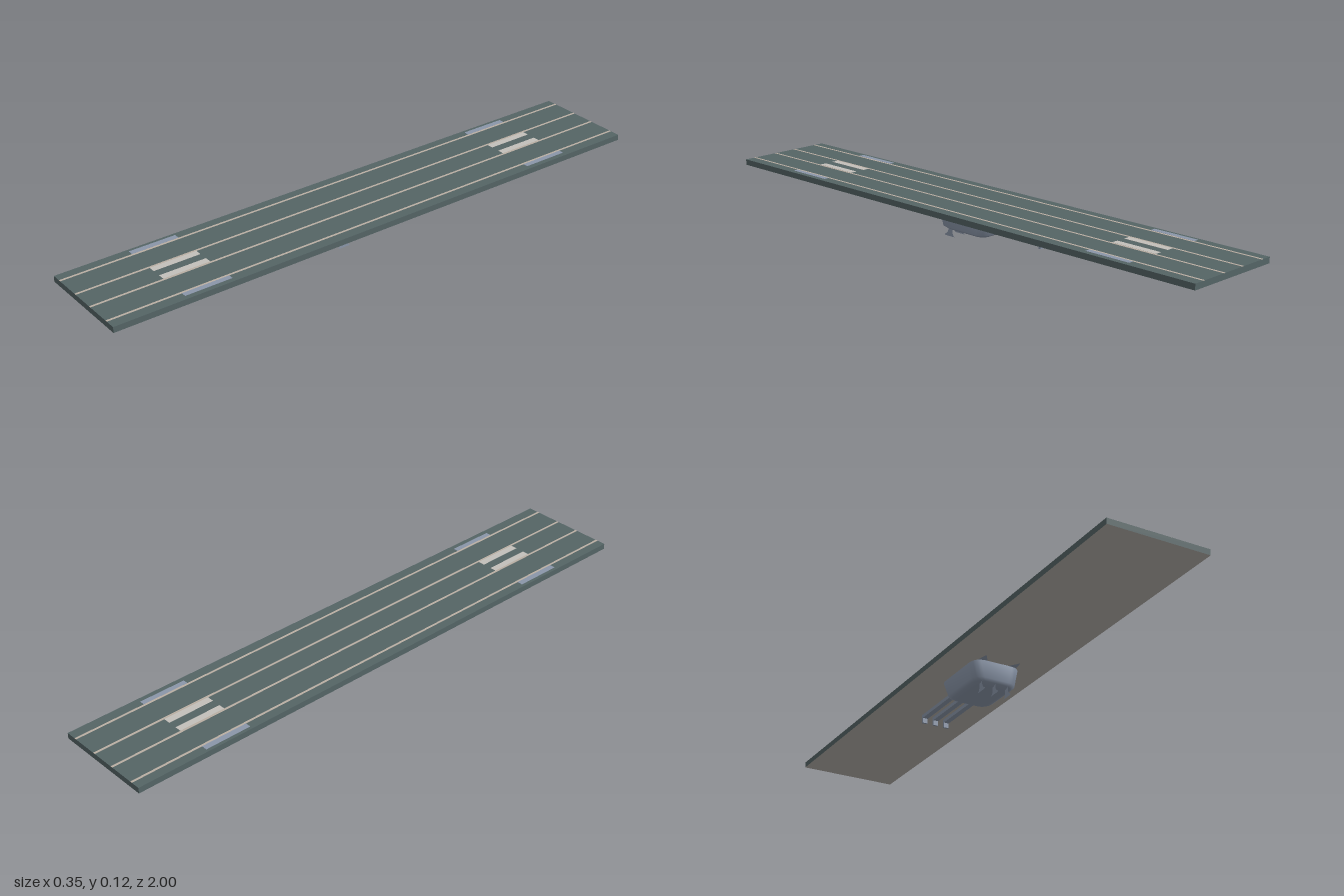
import * as THREE from 'three';

const paint = (name, color, side = THREE.FrontSide) => {
  const m = new THREE.MeshStandardMaterial({ color, side });
  m.name = name;
  return m;
};

export function createModel() {
  const group = new THREE.Group();
  const slate = paint('slate', 0x546465);
  const underside = paint('underside', 0xb3afa9);
  const tan = paint('tan', 0xb9aea3);
  const pale = paint('pale', 0xc3c0ba);
  const steel = paint('steel', 0x8a96a9);
  const steelSheet = paint('steel sheet', 0x8a96a9, THREE.DoubleSide);

  const add = (name, geometry, material) => {
    const mesh = new THREE.Mesh(geometry, material);
    mesh.name = name;
    group.add(mesh);
    return mesh;
  };
  const box = (name, material, x0, x1, y0, y1, z0, z1) => {
    const mesh = add(name, new THREE.BoxGeometry(x1 - x0, y1 - y0, z1 - z0), material);
    mesh.position.set((x0 + x1) / 2, (y0 + y1) / 2, (z0 + z1) / 2);
    return mesh;
  };

  // Long flat deck with a separate underside colour
  box('deck', [slate, slate, slate, underside, slate, slate], -0.174, 0.174, 0.1015, 0.1212, -1, 1);

  // Thin lines along the deck
  for (const x of [-0.139, -0.045, 0.041, 0.135])
    box('deckLine', tan, x - 0.004, x + 0.004, 0.121, 0.1216, -1, 1);

  // Short plates near both ends
  const plates = [[-0.163, -0.143, steel], [-0.041, -0.018, pale], [0.013, 0.037, pale], [0.139, 0.157, steel]];
  for (const s of [-1, 1])
    for (const [x0, x1, material] of plates)
      box('deckPlate', material, x0, x1, 0.121, 0.1219, s * 0.67 - 0.082, s * 0.67 + 0.082);

  // Hull: rounded rectangular sections, from top to bottom [y, half width, back z, front z, radius]
  const levels = [
    [0.102, 0.074, -0.108, 0.108, 0.03],
    [0.096, 0.085, -0.118, 0.118, 0.035],
    [0.042, 0.079, -0.095, 0.108, 0.035],
    [0.034, 0.068, -0.083, 0.098, 0.032],
    [0.027, 0.054, -0.068, 0.085, 0.028],
  ];
  const steps = 4, ring = 4 * (steps + 1);
  const pos = [], index = [];
  for (const [y, hx, zb, zf, r] of levels)
    for (let c = 0; c < 4; c++)
      for (let i = 0; i <= steps; i++) {
        const a = (c + i / steps) * Math.PI / 2;
        const cx = (c === 0 || c === 3 ? 1 : -1) * (hx - r);
        const cz = c < 2 ? zf - r : zb + r;
        pos.push(cx + r * Math.cos(a), y, cz + r * Math.sin(a));
      }
  for (let l = 0; l < levels.length - 1; l++)
    for (let i = 0; i < ring; i++) {
      const a = l * ring + i, b = l * ring + (i + 1) % ring;
      index.push(a, b, a + ring, b, b + ring, a + ring);
    }
  const last = (levels.length - 1) * ring;
  for (let i = 1; i < ring - 1; i++) index.push(last, last + i, last + i + 1);
  const hull = new THREE.BufferGeometry();
  hull.setAttribute('position', new THREE.Float32BufferAttribute(pos, 3));
  hull.setIndex(index);
  hull.computeVertexNormals();
  add('hull', hull, steel);

  // Three rear arms, each with a hooked tip
  for (const x of [-0.04, 0, 0.04]) {
    box('rearArm', steel, x - 0.009, x + 0.009, 0.06, 0.072, -0.312, -0.09);
    box('rearArmTip', steel, x - 0.009, x + 0.009, 0.043, 0.06, -0.312, -0.305);
  }

  // Three flat claws under the front; shape x runs along +z once turned
  const clawShape = new THREE.Shape();
  clawShape.moveTo(0.075, 0.036);
  clawShape.lineTo(0.098, 0.036);
  clawShape.quadraticCurveTo(0.092, 0.014, 0.115, 0.003);
  clawShape.lineTo(0.112, 0);
  clawShape.lineTo(0.07, 0);
  clawShape.quadraticCurveTo(0.086, 0.012, 0.075, 0.036);
  for (const x of [-0.048, 0, 0.046]) {
    const mesh = add('frontClaw', new THREE.ShapeGeometry(clawShape), steelSheet);
    mesh.rotation.y = -Math.PI / 2;
    mesh.position.x = x;
  }

  // Small flat fins at the front corners of the hull
  for (const s of [-1, 1]) {
    const fin = new THREE.Shape();
    fin.moveTo(s * 0.035, 0.11);
    fin.lineTo(s * 0.07, 0.105);
    fin.lineTo(s * 0.062, 0.15);
    const mesh = add('frontFin', new THREE.ShapeGeometry(fin), steelSheet);
    mesh.rotation.x = Math.PI / 2;
    mesh.position.y = 0.098;
  }
  return group;
}
